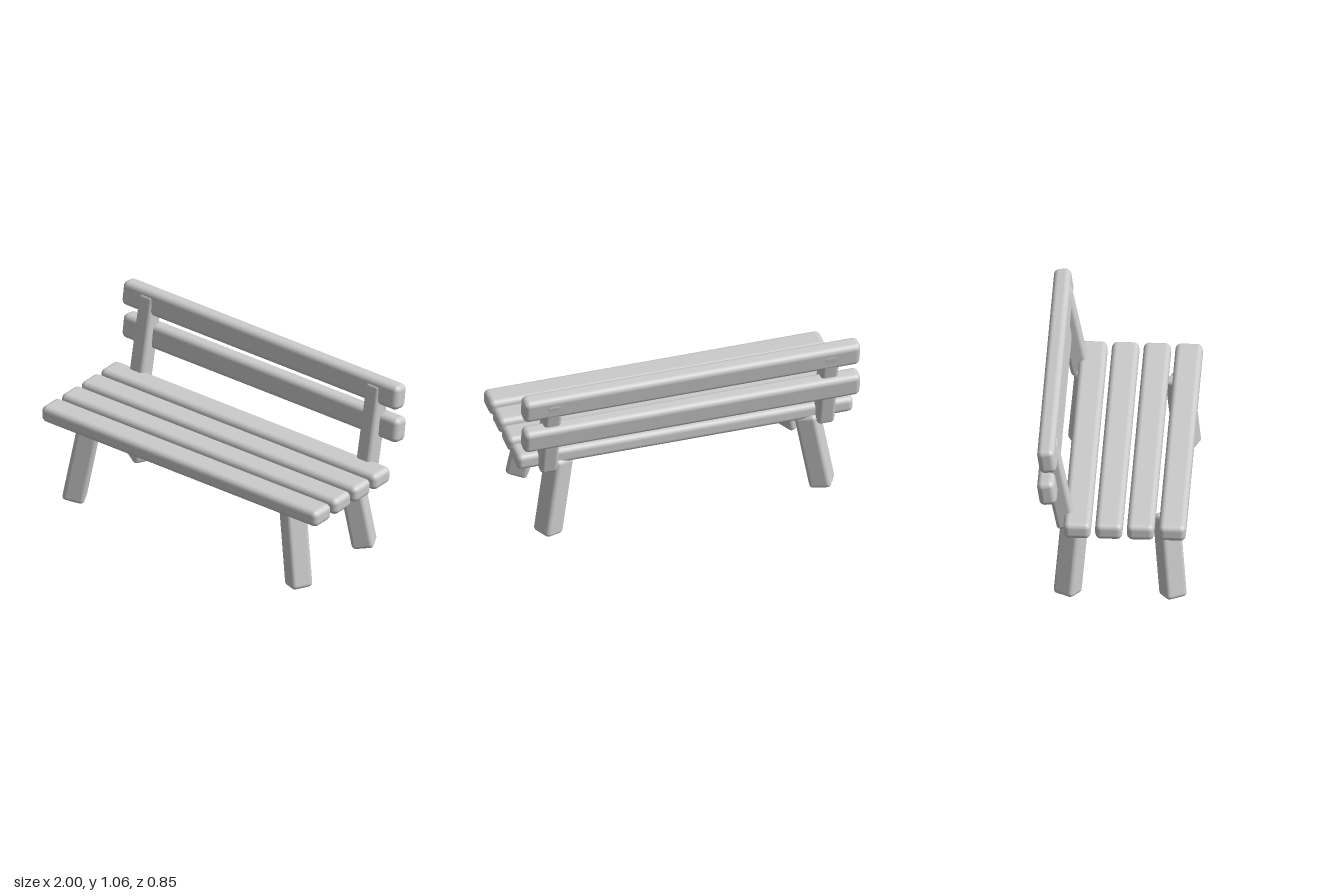
import * as THREE from 'three';
import { RoundedBoxGeometry } from 'three/addons/geometries/RoundedBoxGeometry.js';

export function createModel() {
  const bench = new THREE.Group();
  bench.name = 'bench';
  const grey = new THREE.MeshStandardMaterial({ color: 0xcccccc });
  grey.name = 'light grey';

  const addBeam = (name, size, radius, position) => {
    const mesh = new THREE.Mesh(new RoundedBoxGeometry(...size, 3, radius), grey);
    mesh.name = name;
    mesh.position.set(...position);
    bench.add(mesh);
    return mesh;
  };

  // Four seat slats, evenly spaced from front to back
  for (let i = 0; i < 4; i++) {
    addBeam('seatSlat' + (i + 1), [2, 0.1, 0.156], 0.033, [0, 0.531, 0.348 - i * 0.181]);
  }

  // Two backrest rails, leaning slightly back
  addBeam('upperBackRail', [2, 0.15, 0.1], 0.033, [0, 0.988, -0.367]).rotation.x = -0.14;
  addBeam('lowerBackRail', [2, 0.15, 0.1], 0.033, [0, 0.774, -0.367]).rotation.x = -0.14;

  const up = new THREE.Vector3(0, 1, 0);
  for (const side of [1, -1]) {
    const sideName = side > 0 ? 'left' : 'right';

    // Post carrying the backrest
    addBeam(sideName + 'BackPost', [0.103, 0.57, 0.108], 0.024, [side * 0.823, 0.75, -0.316]).rotation.x = -0.198;

    // Square legs splayed outwards and turned to face their splay direction
    for (const end of [1, -1]) {
      const foot = new THREE.Vector3(side * 0.816, 0.011, 0.044 + end * 0.302);
      const top = new THREE.Vector3(side * 0.735, 0.505, 0.044 + end * 0.259);
      const axis = top.clone().sub(foot);
      const centre = foot.clone().add(top).multiplyScalar(0.5);
      const leg = addBeam(sideName + (end > 0 ? 'FrontLeg' : 'BackLeg'),
        [0.13, axis.length(), 0.13], 0.025, centre.toArray());
      const turn = new THREE.Quaternion().setFromAxisAngle(up, -side * end * 0.49);
      leg.quaternion.setFromUnitVectors(up, axis.normalize()).multiply(turn);
    }
  }
  return bench;
}
